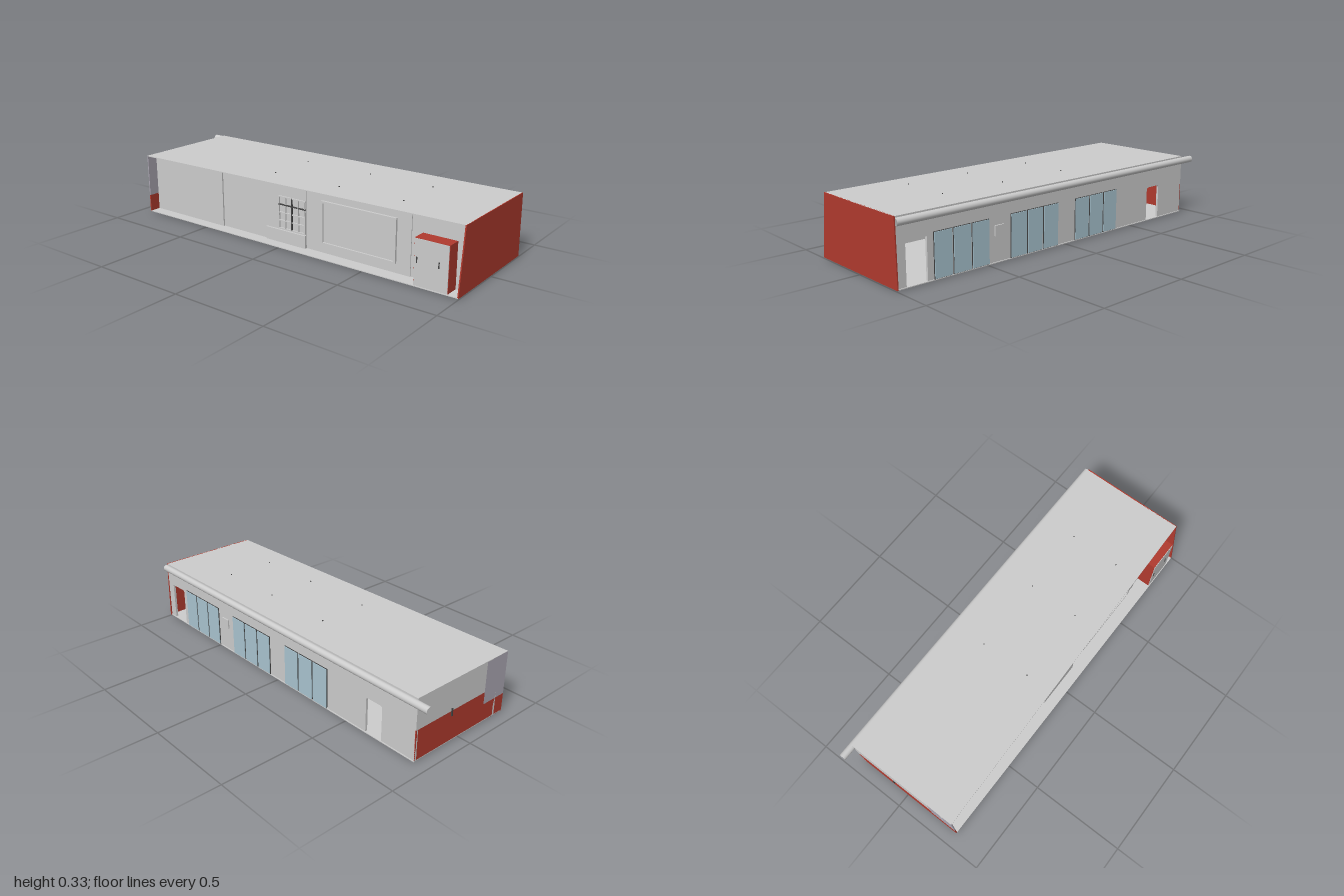
import * as THREE from 'three';

const mat = (name, color) => {
  const m = new THREE.MeshStandardMaterial({ color });
  m.name = name;
  return m;
};

export function createModel() {
  const grey = mat('wall grey', 0xcccccc);
  const red = mat('brick red', 0xb03a2e);
  const purple = mat('purple grey', 0xaba6b2);
  const glass = mat('window glass', 0xa9c4d0);
  const dark = mat('dark trim', 0x444444);
  const charcoal = mat('charcoal', 0x524d40);

  const group = new THREE.Group();
  group.name = 'longBuilding';

  const add = (name, geometry, material) => {
    const mesh = new THREE.Mesh(geometry, material);
    mesh.name = name;
    group.add(mesh);
    return mesh;
  };
  // box given by its lower and upper limits
  const box = (name, material, x0, x1, y0, y1, z0, z1) => {
    const g = new THREE.BoxGeometry(x1 - x0, y1 - y0, z1 - z0);
    g.translate((x0 + x1) / 2, (y0 + y1) / 2, (z0 + z1) / 2);
    return add(name, g, material);
  };
  const outline = (pts) => new THREE.Shape(pts.map(([x, y]) => new THREE.Vector2(x, y)));
  const extrude = (shape, depth) =>
    new THREE.ExtrudeGeometry(shape, { depth, bevelEnabled: false, curveSegments: 5 });

  const L = -0.93, R = 1, BASE = 0.005, TOP = 0.327, BACK = -0.293, FRONT = 0.317;

  // floor slab
  box('floor', grey, L, R, BASE, 0.009, -0.298, FRONT);

  // roof with a front edge that tapers towards the left end
  const roof = extrude(outline([[L, -FRONT], [-0.82, -0.314], [R, -0.279], [R, -BACK], [L, -BACK]]), 0.004);
  roof.rotateX(-Math.PI / 2).translate(0, TOP - 0.004, 0);
  add('roof', roof, grey);

  // sloping red end wall
  const end = extrude(outline([[-FRONT, BASE], [0.3, BASE], [0.293, TOP], [-0.279, TOP]]), 0.006);
  end.rotateY(Math.PI / 2).translate(R - 0.005, 0, 0);
  add('redEndWall', end, red);

  // opposite end wall: red lower part, grey and purple upper parts
  const SPLIT = 0.17;
  box('endWallLower', red, L, L + 0.006, BASE, 0.165, BACK, SPLIT);
  box('endWallUpper', grey, L, L + 0.006, 0.165, TOP, BACK, SPLIT);
  box('endWallCornerLower', red, L, L + 0.006, BASE, 0.1, SPLIT, FRONT);
  box('endWallCornerUpper', purple, L, L + 0.006, 0.1, TOP, SPLIT, FRONT);
  box('endDoorHandle', dark, L - 0.005, L, 0.14, 0.18, -0.065, -0.058);

  // recessed front wall in four stepped sections
  const sections = [[L, -0.42, 0.258], [-0.42, 0.13, 0.25], [0.13, 0.72, 0.245], [0.72, R, 0.24]];
  sections.forEach(([x0, x1, z]) =>
    box('frontWallSection', grey, x0, x1, BASE, TOP, z - 0.012, z));

  // lattice and low panel on the second section
  box('lowPanel', grey, -0.12, 0.13, BASE, 0.075, 0.25, 0.26);
  for (let i = 0; i <= 4; i++) {
    const x = -0.036 + i * 0.0405, y = 0.084 + i * 0.0415;
    box('latticeUpright', i === 2 ? dark : grey, x - 0.0025, x + 0.0025, 0.082, 0.252, 0.25, 0.258);
    box('latticeRail', i === 3 ? dark : grey, -0.04, 0.13, y - 0.0025, y + 0.0025, 0.25, 0.258);
  }

  // framed board on the third section
  const frame = outline([[0.226, 0.056], [0.646, 0.056], [0.646, 0.276], [0.226, 0.276]]);
  frame.holes.push(outline([[0.236, 0.066], [0.236, 0.266], [0.636, 0.266], [0.636, 0.066]]));
  add('boardFrame', extrude(frame, 0.012).translate(0, 0, 0.245), grey);
  box('board', grey, 0.236, 0.636, 0.066, 0.266, 0.245, 0.248);

  // red cupboard with a grey front and two handles
  box('cupboard', red, 0.775, 0.947, BASE, 0.233, 0.24, 0.31);
  box('cupboardFront', grey, 0.777, 0.945, BASE + 0.003, 0.231, 0.31, 0.313);
  for (const x of [0.79, 0.9])
    box('cupboardHandle', dark, x - 0.0025, x + 0.0025, 0.118, 0.146, 0.313, 0.316);

  // back wall with a square doorway and a round-cornered one
  const wall = outline([[L, BASE], [-0.73, BASE], [-0.73, 0.175]]);
  wall.quadraticCurveTo(-0.73, 0.19, -0.715, 0.19);
  wall.lineTo(-0.645, 0.19);
  wall.quadraticCurveTo(-0.63, 0.19, -0.63, 0.175);
  [[-0.63, BASE], [0.84, BASE], [0.84, 0.21], [0.95, 0.21], [0.95, BASE], [R, BASE], [R, TOP], [L, TOP]]
    .forEach(([x, y]) => wall.lineTo(x, y));
  add('backWall', extrude(wall, 0.012).translate(0, 0, BACK), grey);

  // three groups of three tall windows
  for (const start of [0.5, 0.06, -0.37]) {
    for (let i = 0; i < 3; i++) {
      const x = start + i * 0.105;
      box('windowFrame', dark, x - 0.002, x + 0.097, 0.009, 0.224, BACK - 0.004, BACK);
      box('windowPane', glass, x, x + 0.095, 0.011, 0.222, BACK - 0.007, BACK);
    }
  }
  box('wallBox', grey, 0.41, 0.465, 0.135, 0.185, BACK - 0.007, BACK);

  // open pipe running along the top of the back wall
  const pipe = new THREE.CylinderGeometry(0.018, 0.018, 2, 20, 1, true);
  pipe.rotateZ(Math.PI / 2).translate(0, 0.303, -0.3);
  add('roofPipe', pipe, grey);

  // small pins on the roof
  for (const x of [0.62, 0.26, -0.14]) {
    for (const z of [0.155, -0.115]) {
      const pin = new THREE.CylinderGeometry(0.003, 0.003, 0.004, 8);
      add('roofPin', pin.translate(x, TOP + 0.002, z), dark);
    }
  }

  // row of lozenge plates and two pads under the floor
  const lozenge = outline([[-0.147, 0.01], [-0.13, -0.02], [-0.02, -0.105], [0.02, -0.105],
    [0.147, -0.01], [0.13, 0.02], [0.02, 0.105], [-0.02, 0.105]]);
  for (let i = 0; i < 4; i++) {
    const g = extrude(lozenge, 0.003);
    g.rotateX(-Math.PI / 2).translate(0.66 - i * 0.29, 0.002, -0.018);
    add('underfloorPlate', g, i % 2 ? red : charcoal);
  }
  for (const x of [0.065, 0.47])
    box('underfloorPad', grey, x - 0.021, x + 0.021, 0, BASE, -0.287, -0.245);

  return group;
}
